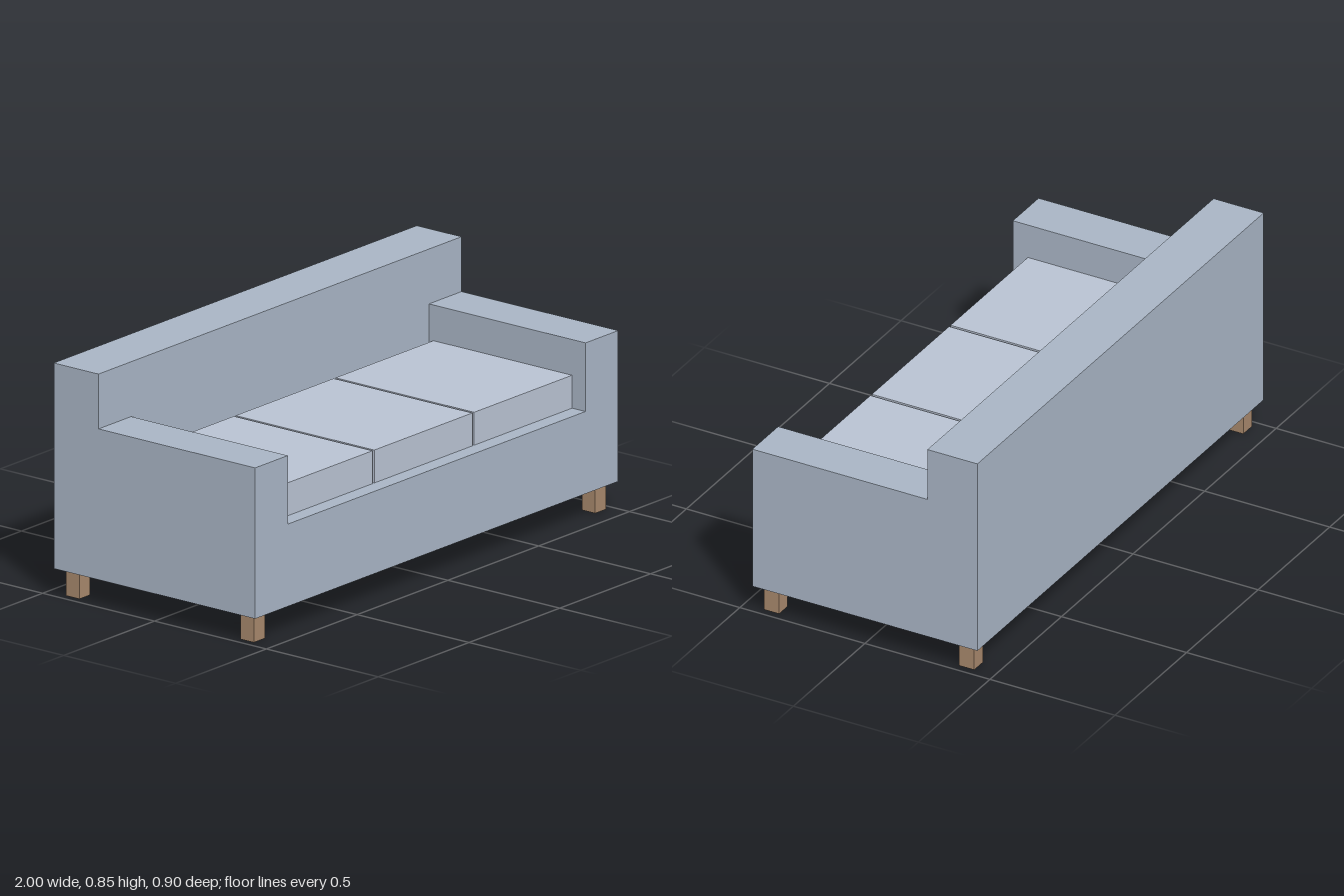
import * as THREE from 'three';

const fabric = new THREE.MeshStandardMaterial({ color: 0xa8b4c4 });
const cushionFabric = new THREE.MeshStandardMaterial({ color: 0xb8c2d2 });
const wood = new THREE.MeshStandardMaterial({ color: 0xa6876b });

// Box given by its extents along each axis
function block(name, material, [x0, x1], [y0, y1], [z0, z1]) {
  const mesh = new THREE.Mesh(new THREE.BoxGeometry(x1 - x0, y1 - y0, z1 - z0), material);
  mesh.position.set((x0 + x1) / 2, (y0 + y1) / 2, (z0 + z1) / 2);
  mesh.name = name;
  return mesh;
}

export function createModel() {
  const sofa = new THREE.Group();
  sofa.name = 'sofa';

  // Upholstered frame
  sofa.add(block('base', fabric, [-1, 1], [0.1, 0.4], [-0.45, 0.45]));
  sofa.add(block('backrest', fabric, [-1, 1], [0.4, 0.85], [-0.45, -0.25]));
  sofa.add(block('leftArm', fabric, [0.82, 1], [0.4, 0.65], [-0.25, 0.45]));
  sofa.add(block('rightArm', fabric, [-1, -0.82], [0.4, 0.65], [-0.25, 0.45]));

  // Three seat cushions with narrow gaps
  for (const x of [-0.55, 0, 0.55]) {
    sofa.add(block('seatCushion', cushionFabric, [x - 0.27, x + 0.27], [0.4, 0.52], [-0.23, 0.39]));
  }

  // Square legs at the corners
  for (const x of [-0.94, 0.94]) {
    for (const z of [-0.39, 0.39]) {
      sofa.add(block('leg', wood, [x - 0.03, x + 0.03], [0, 0.1], [z - 0.03, z + 0.03]));
    }
  }
  return sofa;
}
